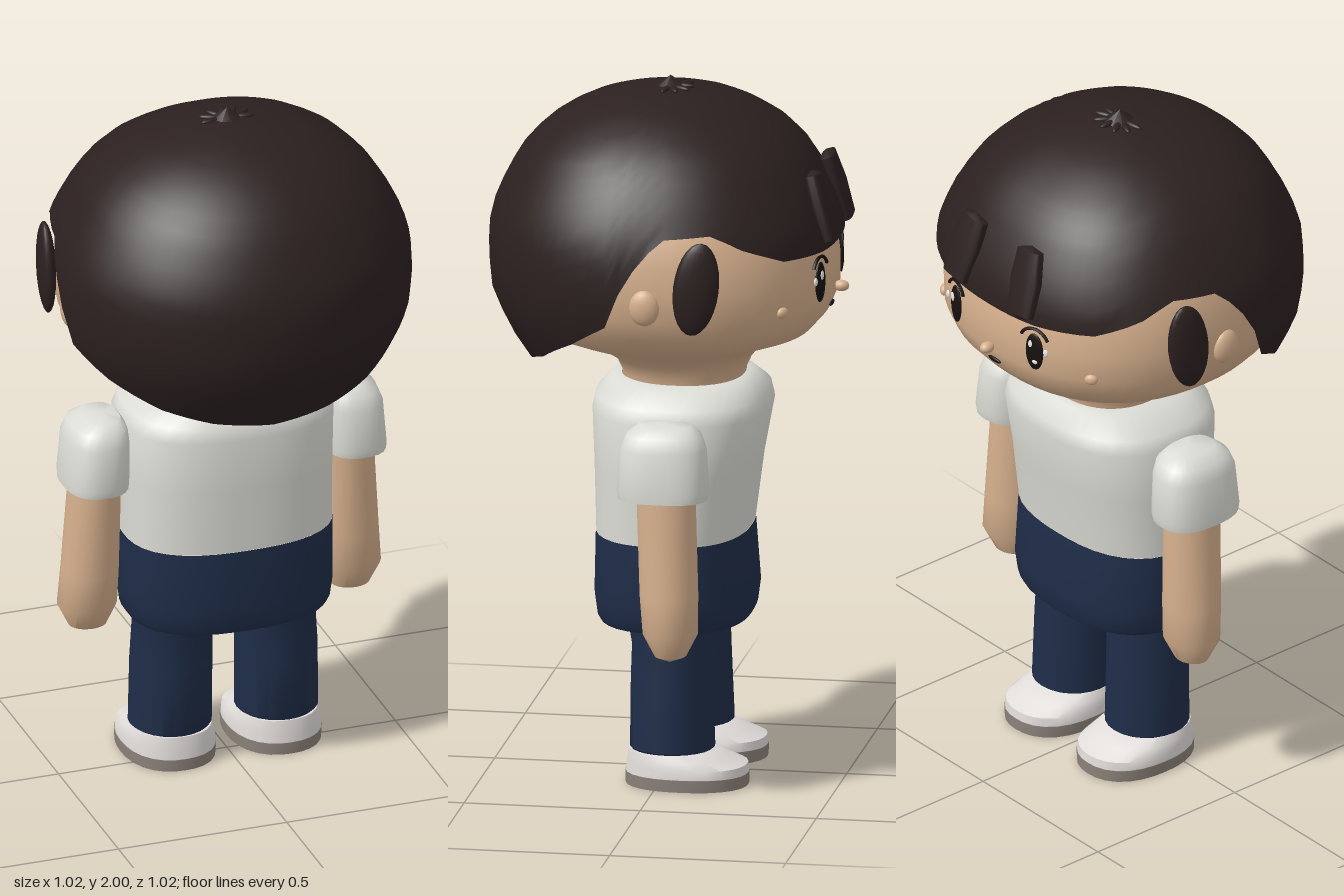
import * as THREE from 'three';
import { toCreasedNormals } from 'three/addons/utils/BufferGeometryUtils.js';

const mat = (name, color) => new THREE.MeshStandardMaterial({ name, color });

// Skin over rings of points, listed from bottom to top
function skinRings(rings, crease) {
  const n = rings[0].length, pos = rings.flat(2), index = [];
  for (let i = 0; i < rings.length - 1; i++) {
    for (let j = 0; j < n; j++) {
      const k = (j + 1) % n, a = i * n + j, b = i * n + k, c = b + n, d = a + n;
      index.push(a, b, c, a, c, d);
    }
  }
  const g = new THREE.BufferGeometry();
  g.setAttribute('position', new THREE.Float32BufferAttribute(pos, 3));
  g.setIndex(index);
  g.computeVertexNormals();
  return crease ? toCreasedNormals(g, crease) : g;
}

// Unit superellipse point at an angle measured from +z towards +x
function superPoint(a, p) {
  const s = Math.sin(a), c = Math.cos(a);
  const r = Math.pow(Math.pow(Math.abs(s), p) + Math.pow(Math.abs(c), p), -1 / p);
  return [s * r, c * r];
}

// Sections: [y, radiusX, radiusZ, centreZ, centreX]
function loft(sections, { p = 2, n = 32, crease = 0.7 } = {}) {
  return skinRings(sections.map(([y, rx, rz, cz = 0, cx = 0]) =>
    Array.from({ length: n }, (_, j) => {
      const [s, c] = superPoint(j / n * Math.PI * 2, p);
      return [cx + s * rx, y, cz + c * rz];
    })), crease);
}

// Piecewise linear lookup in rows sorted by their first value
function lookup(rows, v, col = 1) {
  if (v <= rows[0][0]) return rows[0][col];
  for (let i = 1; i < rows.length; i++) {
    const a = rows[i - 1], b = rows[i];
    if (v <= b[0]) return a[col] + (b[col] - a[col]) * (v - a[0]) / (b[0] - a[0]);
  }
  return rows[rows.length - 1][col];
}

const HEAD = [
  [1.13, 0.18, 0.17, -0.04], [1.16, 0.182, 0.172, -0.04], [1.2, 0.198, 0.19, -0.04],
  [1.235, 0.25, 0.23, -0.03], [1.265, 0.33, 0.3, -0.02], [1.295, 0.395, 0.385, -0.02],
  [1.34, 0.435, 0.425, -0.02], [1.4, 0.462, 0.45, -0.02], [1.48, 0.47, 0.45, -0.02],
  [1.56, 0.462, 0.44, -0.02], [1.65, 0.44, 0.41, -0.02], [1.75, 0.38, 0.35, -0.01],
  [1.85, 0.25, 0.24, 0], [1.9, 0, 0, 0]];
const HAIR_RADIUS = [
  [1.19, 0.385], [1.25, 0.43], [1.32, 0.47], [1.4, 0.505], [1.5, 0.515], [1.6, 0.51],
  [1.66, 0.49], [1.73, 0.455], [1.8, 0.41], [1.86, 0.35], [1.91, 0.27], [1.94, 0.2],
  [1.965, 0.1], [1.975, 0]];
// Lower hair edge: degrees from the back, height
const HAIR_EDGE = [
  [0, 1.19], [25, 1.21], [45, 1.25], [65, 1.32], [80, 1.39], [86, 1.51], [93, 1.6],
  [100, 1.65], [117, 1.66], [122, 1.625], [140, 1.565], [160, 1.555], [180, 1.555]];

// Depth of the face surface at a given x and y
function faceZ(x, y) {
  const rx = lookup(HEAD, y, 1), rz = lookup(HEAD, y, 2), cz = lookup(HEAD, y, 3);
  return cz - rz * Math.pow(1 - Math.pow(Math.abs(x) / rx, 2.3), 1 / 2.3);
}

function hairGeometry() {
  const n = 72, rows = 18, rings = [];
  for (let i = 0; i <= rows; i++) {
    const t = Math.sin(i / rows * Math.PI / 2);
    rings.push(Array.from({ length: n }, (_, j) => {
      const a = j / n * Math.PI * 2, front = Math.cos(a) < 0;
      const deg = Math.acos(Math.cos(a)) * 180 / Math.PI;
      const edge = lookup(HAIR_EDGE, deg), y = edge + (1.975 - edge) * t;
      const r = lookup(HAIR_RADIUS, y);
      const [s, c] = superPoint(a, front ? 2.3 : 2);
      return [s * r, y, 0.02 + c * r * (front ? 0.98 : 0.95)];
    }));
  }
  return skinRings(rings);
}

export function createModel() {
  const model = new THREE.Group();
  model.name = 'character';
  const skin = mat('skin', 0xd6b08d), hair = mat('hair', 0x2c2020);
  const shirt = mat('shirt', 0xdcdcd6), navy = mat('navy cloth', 0x1f2d48);
  const shoe = mat('shoe white', 0xe0dcda), sole = mat('sole grey', 0x8c827a);
  const dark = mat('eye dark', 0x17110f), white = mat('eye white', 0xf0f0ee);
  hair.side = shirt.side = dark.side = white.side = THREE.DoubleSide;

  const add = (name, geometry, material, position = [0, 0, 0], rotation = [0, 0, 0], scale = [1, 1, 1]) => {
    const m = new THREE.Mesh(geometry, material);
    m.name = name;
    m.position.set(...position);
    m.rotation.set(...rotation);
    m.scale.set(...scale);
    model.add(m);
    return m;
  };
  const ball = new THREE.SphereGeometry(1, 20, 14);

  // Head and hair
  add('head', loft(HEAD, { p: 2.3, n: 48, crease: 0 }), skin);
  add('hair', hairGeometry(), hair);
  add('crownTuft', new THREE.ConeGeometry(0.07, 0.05, 9), hair, [0, 1.975, 0]);
  for (let i = 0; i < 7; i++) {
    const a = (i / 6 - 0.5) * Math.PI * 1.1;
    add('crownStrand', ball, hair, [Math.sin(a) * 0.05, 1.97, -Math.cos(a) * 0.04],
      [0, -a, 0], [0.01, 0.008, 0.03]);
  }

  // Shirt and hips
  add('shirt', loft([
    [0.71, 0.3, 0.215, -0.015], [0.9, 0.303, 0.23, -0.025], [1.06, 0.308, 0.248, -0.037],
    [1.1, 0.29, 0.24, -0.037], [1.147, 0.2, 0.2, -0.037], [1.15, 0.17, 0.17, -0.037]],
  { p: 2.5, n: 40, crease: 0.8 }), shirt);
  add('hips', loft([
    [0.47, 0, 0, -0.02], [0.455, 0.285, 0.21, -0.02], [0.47, 0.295, 0.217, -0.02],
    [0.53, 0.303, 0.225, -0.02], [0.71, 0.301, 0.216, -0.015]],
  { p: 2.5, n: 40 }), navy);

  for (const s of [1, -1]) {
    const side = s > 0 ? 'left' : 'right';

    // Arm and sleeve
    add(side + 'Arm', loft([
      [0.405, 0, 0, -0.065, s * 0.39], [0.425, 0.055, 0.045, -0.067, s * 0.39],
      [0.49, 0.085, 0.078, -0.067, s * 0.392], [0.6, 0.082, 0.083, -0.062, s * 0.386],
      [0.88, 0.074, 0.084, -0.052, s * 0.375], [1, 0.07, 0.08, -0.045, s * 0.37]], { n: 20 }), skin);
    add(side + 'Sleeve', loft([
      [0.89, 0.06, 0.09, -0.045, s * 0.38], [0.878, 0.09, 0.125, -0.045, s * 0.383],
      [0.9, 0.091, 0.13, -0.045, s * 0.382], [1.02, 0.088, 0.12, -0.045, s * 0.376],
      [1.06, 0.078, 0.105, -0.045, s * 0.37], [1.082, 0.05, 0.075, -0.045, s * 0.36],
      [1.088, 0, 0, -0.045, s * 0.355]], { p: 2.6, n: 28 }), shirt);

    // Leg and shoe
    add(side + 'Leg', loft([
      [0.095, 0.105, 0.11, -0.03, s * 0.157], [0.105, 0.118, 0.12, -0.033, s * 0.158],
      [0.3, 0.117, 0.115, -0.03, s * 0.156], [0.4, 0.114, 0.112, -0.03, s * 0.153],
      [0.5, 0.114, 0.12, -0.02, s * 0.153]], { n: 24 }), navy);
    add(side + 'Sole', loft([
      [0, 0, 0, -0.075, s * 0.157], [0, 0.132, 0.173, -0.075, s * 0.157],
      [0.035, 0.134, 0.174, -0.075, s * 0.157], [0.036, 0, 0, -0.075, s * 0.157]],
    { p: 2.3, n: 28 }), sole);
    add(side + 'Shoe', loft([
      [0.035, 0.132, 0.173, -0.075, s * 0.157], [0.06, 0.13, 0.17, -0.075, s * 0.157],
      [0.08, 0.122, 0.142, -0.05, s * 0.157], [0.1, 0.112, 0.12, -0.032, s * 0.157],
      [0.1, 0, 0, -0.03, s * 0.157]], { p: 2.3, n: 28, crease: 0.8 }), shoe);

    // Ear and hair locks
    add(side + 'Ear', ball, skin, [s * 0.465, 1.445, -0.005], [0, 0, 0], [0.025, 0.052, 0.043]);
    add(side + 'SideLock', ball, hair, [s * 0.482, 1.51, -0.155], [-0.12, s * 0.15, 0], [0.026, 0.135, 0.064]);
    add(side + 'Bang', loft([
      [-0.11, 0, 0], [-0.1, 0.048, 0.015], [0, 0.056, 0.022], [0.09, 0.045, 0.02], [0.105, 0, 0]],
    { p: 3, n: 20, crease: 0.9 }), hair, [s * 0.13, 1.675, -0.452], [0.3, 0, s * 0.12]);

    // Eye, lashes and cheek bead
    const x = s * 0.17, z = faceZ(x, 1.47), turn = Math.PI - s * 0.25;
    add(side + 'Eye', ball, dark, [x, 1.465, z - 0.004], [0, turn, 0], [0.03, 0.058, 0.008]);
    add(side + 'EyeGlint', ball, white, [x + 0.008, 1.487, z - 0.011], [0, turn, 0], [0.009, 0.014, 0.003]);
    add(side + 'EyeLowerGlint', ball, white, [x - 0.006, 1.435, z - 0.008], [0, turn, 0], [0.009, 0.007, 0.004]);
    add(side + 'UpperLash', new THREE.TorusGeometry(0.05, 0.005, 6, 16, Math.PI * 0.7), dark,
      [x, 1.488, z - 0.004], [0, turn, Math.PI * 0.15]);
    add(side + 'LashTip', ball, white, [s * 0.212, 1.475, faceZ(0.212, 1.475) - 0.012], [0, turn, 0], [0.008, 0.012, 0.005]);
    add(side + 'CheekBead', ball, skin, [s * 0.32, 1.41, faceZ(0.32, 1.41)], [0, Math.PI - s * 0.7, 0], [0.019, 0.016, 0.012]);
  }

  // Nose and mouth
  add('nose', ball, skin, [0, 1.412, faceZ(0, 1.412) - 0.015], [0, 0, 0], [0.018, 0.016, 0.022]);
  add('mouth', ball, dark, [0, 1.362, faceZ(0, 1.362) - 0.003], [-0.3, 0, 0], [0.026, 0.008, 0.006]);
  return model;
}
